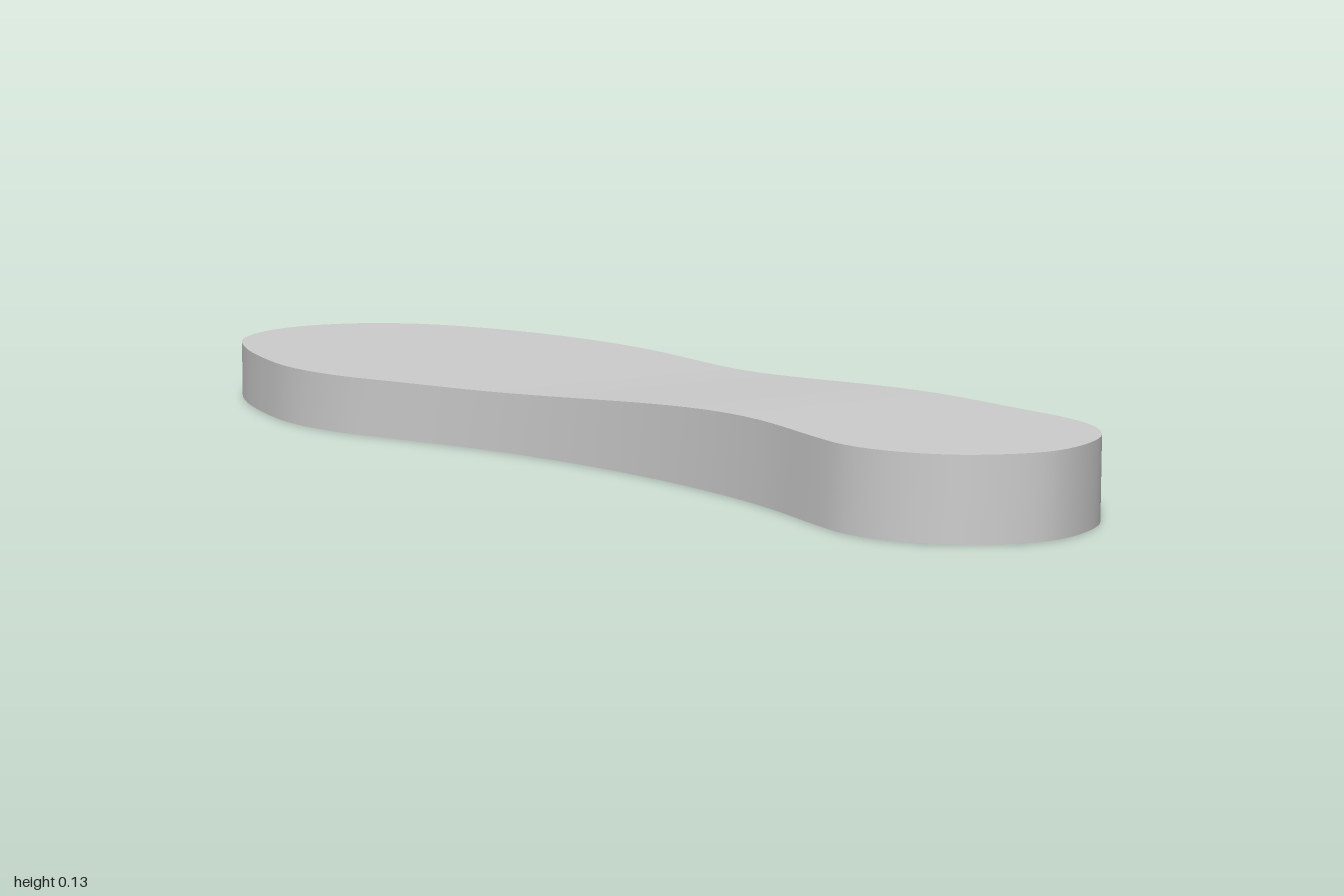
import * as THREE from 'three';
import { toCreasedNormals } from 'three/addons/utils/BufferGeometryUtils.js';

// Outline seen from above, as [x, z] from toe tip to heel tip
const toe = [-0.035, -1], heel = [0.06, 1];
const innerEdge = [
  [-0.12, -0.98], [-0.205, -0.915], [-0.26, -0.81], [-0.3, -0.665], [-0.315, -0.545],
  [-0.297, -0.42], [-0.25, -0.295], [-0.197, -0.15], [-0.156, 0], [-0.125, 0.185],
  [-0.113, 0.38], [-0.121, 0.555], [-0.147, 0.72], [-0.153, 0.785], [-0.132, 0.87], [-0.065, 0.955],
];
const outerEdge = [
  [0.06, -0.98], [0.13, -0.935], [0.19, -0.86], [0.262, -0.7], [0.302, -0.53],
  [0.314, -0.37], [0.307, -0.24], [0.29, -0.03], [0.278, 0.25], [0.274, 0.45],
  [0.275, 0.65], [0.274, 0.79], [0.253, 0.87], [0.19, 0.95],
];

// Height of the top: a low forefoot rising smoothly to the heel
const topHeight = (z) => 0.096 + 0.034 * THREE.MathUtils.smoothstep(z, -0.2, 0.55);

// x of an edge polyline (ordered by z) at a given z
function xAt(points, z) {
  let i = 1;
  while (i < points.length - 1 && points[i].z < z) i++;
  const a = points[i - 1], b = points[i];
  const t = THREE.MathUtils.clamp((z - a.z) / (b.z - a.z || 1), 0, 1);
  return a.x + (b.x - a.x) * t;
}

function soleGeometry(rows = 72) {
  // One closed smooth curve, split at the toe and heel tips
  const loop = [toe, ...innerEdge, heel, ...[...outerEdge].reverse()];
  const curve = new THREE.CatmullRomCurve3(loop.map(([x, z]) => new THREE.Vector3(x, 0, z)), true);
  const steps = 16;
  const samples = curve.getPoints(loop.length * steps);
  const split = (innerEdge.length + 1) * steps;
  const inner = samples.slice(0, split + 1);
  const outer = samples.slice(split).reverse();

  // Four-cornered cross-sections, packed closer towards the rounded ends
  const positions = [], indices = [];
  for (let i = 0; i <= rows; i++) {
    const z = -Math.cos((Math.PI * i) / rows);
    const l = xAt(inner, z), r = xAt(outer, z), h = topHeight(z);
    positions.push(l, h, z, r, h, z, r, 0, z, l, 0, z);
    if (i === rows) break;
    for (let j = 0; j < 4; j++) {
      const a = i * 4 + j, b = i * 4 + ((j + 1) % 4);
      indices.push(a, a + 4, b + 4, a, b + 4, b);
    }
  }
  const geometry = new THREE.BufferGeometry();
  geometry.setAttribute('position', new THREE.Float32BufferAttribute(positions, 3));
  geometry.setIndex(indices);
  return toCreasedNormals(geometry, 0.6);
}

export function createModel() {
  const model = new THREE.Group();
  model.name = 'shoeSole';
  const sole = new THREE.Mesh(soleGeometry(), new THREE.MeshStandardMaterial({ color: 0xcccccc }));
  sole.name = 'sole';
  model.add(sole);
  return model;
}
